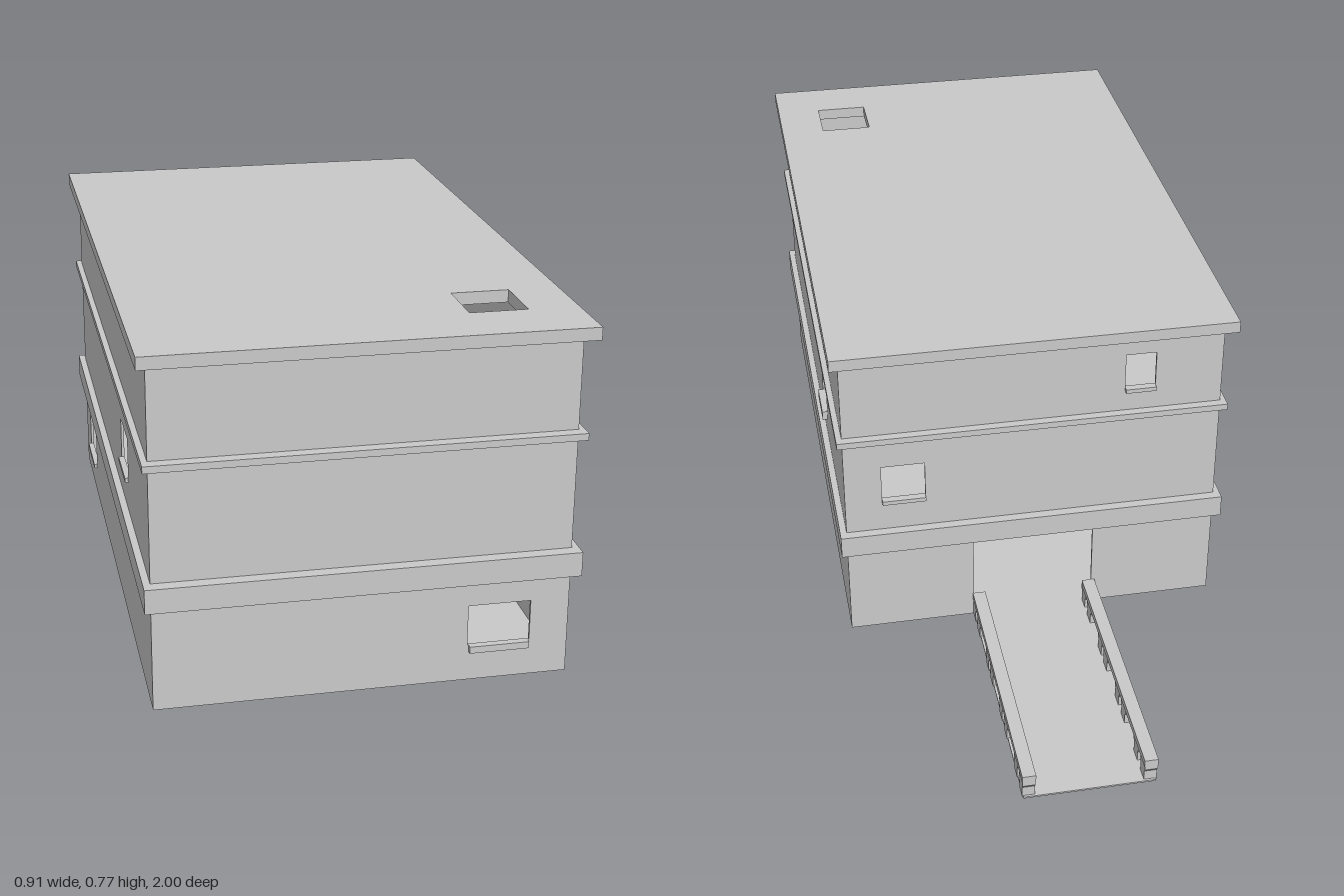
import * as THREE from 'three';

const mat = new THREE.MeshStandardMaterial({ color: 0xcccccc, flatShading: true, side: THREE.DoubleSide });
const T = 0.006; // wall thickness

function mesh(name, geo, parent) {
  const m = new THREE.Mesh(geo, mat);
  m.name = name;
  parent.add(m);
  return m;
}

// box from min / max corners
function box(name, x0, x1, y0, y1, z0, z1, parent) {
  const m = mesh(name, new THREE.BoxGeometry(x1 - x0, y1 - y0, z1 - z0), parent);
  m.position.set((x0 + x1) / 2, (y0 + y1) / 2, (z0 + z1) / 2);
  return m;
}

const rect = (P, a, b, c, d) => new P([[a, c], [b, c], [b, d], [a, d]].map(p => new THREE.Vector2(...p)));

// flat panel with rectangular holes given as [u0, u1, v0, v1]
function panel(u0, u1, v0, v1, holes, depth) {
  const s = rect(THREE.Shape, u0, u1, v0, v1);
  for (const h of holes) s.holes.push(rect(THREE.Path, ...h));
  return new THREE.ExtrudeGeometry(s, { depth, bevelEnabled: false });
}

export function createModel() {
  const g = new THREE.Group();
  g.name = 'building';
  const X = 0.435, ZF = 0.96, ZB = -0.38, H = 0.75;

  // window openings: [along0, along1, y0, y1], sill height and depth
  const frontWin = [0.22, 0.353, 0.08, 0.17];
  const rightWin = [0.015, 0.117, 0.358, 0.44];
  const leftWins = [[-0.28, -0.135, 0.08, 0.17], [0.49, 0.61, 0.36, 0.45]];
  const backWins = [[0.25, 0.35, 0.367, 0.455], [-0.28, -0.21, 0.605, 0.69]];
  const door = [-0.145, 0.14, 0.004, 0.23];
  const flip = w => [-w[1], -w[0], w[2], w[3]];

  // outer walls with openings
  mesh('frontWall', panel(-X, X, 0, H, [frontWin], T), g).position.z = ZF - T;
  mesh('backWall', panel(-X, X, 0, H, [door, ...backWins], T), g).position.z = ZB;
  const right = mesh('rightWall', panel(-ZF, -ZB, 0, H, [flip(rightWin)], T), g);
  right.rotation.y = Math.PI / 2;
  right.position.x = X - T;
  const left = mesh('leftWall', panel(-ZF, -ZB, 0, H, leftWins.map(flip), T), g);
  left.rotation.y = Math.PI / 2;
  left.position.x = -X;

  // window sills
  box('frontSill', 0.223, 0.35, 0.065, 0.08, ZF - T, 0.97, g);
  box('rightSill', X - T, 0.447, 0.335, 0.358, 0.015, 0.117, g);
  for (const w of leftWins) box('leftSill', -X - 0.007, -X + T, w[2] - 0.01, w[2], w[0], w[1], g);
  for (const w of backWins) box('backSill', w[0], w[1], w[2] - 0.01, w[2], ZB - 0.012, ZB + T, g);

  // floor slabs that project as bands
  box('groundFloor', -X, X, 0, 0.004, ZB, ZF, g);
  box('firstFloorSlab', -0.45, 0.45, 0.23, 0.283, -0.402, 0.987, g);
  box('secondFloorSlab', -0.448, 0.448, 0.529, 0.544, -0.4, 0.985, g);

  // roof with hatch opening
  const roof = mesh('roof', panel(-0.457, 0.457, -1, 0.418, [[0.227, 0.35, -0.865, -0.735]], 0.027), g);
  roof.rotation.x = -Math.PI / 2;
  roof.position.y = 0.745;

  // bridge deck
  const bridge = new THREE.Group();
  bridge.name = 'bridge';
  g.add(bridge);
  box('deck', -0.15, 0.14, 0, 0.004, -1, ZB, bridge);

  // parapets: a top rail on pairs of flared posts
  const post = new THREE.Shape([[-0.016, 0], [0.016, 0], [0.016, 0.028], [0.021, 0.036], [0.021, 0.048],
    [-0.021, 0.048], [-0.021, 0.036], [-0.016, 0.028]].map(p => new THREE.Vector2(...p)));
  const postGeo = new THREE.ExtrudeGeometry(post, { depth: 0.028, bevelEnabled: false });
  postGeo.translate(0, 0, -0.014).rotateY(Math.PI / 2);
  for (const x of [-0.138, 0.128]) {
    box('parapetRail', x - 0.015, x + 0.015, 0.045, 0.062, -1, ZB, bridge);
    for (const z of [-0.396, -0.455, -0.572, -0.628, -0.743, -0.802, -0.92, -0.979])
      mesh('parapetPost', postGeo, bridge).position.set(x, 0, z);
  }
  return g;
}
